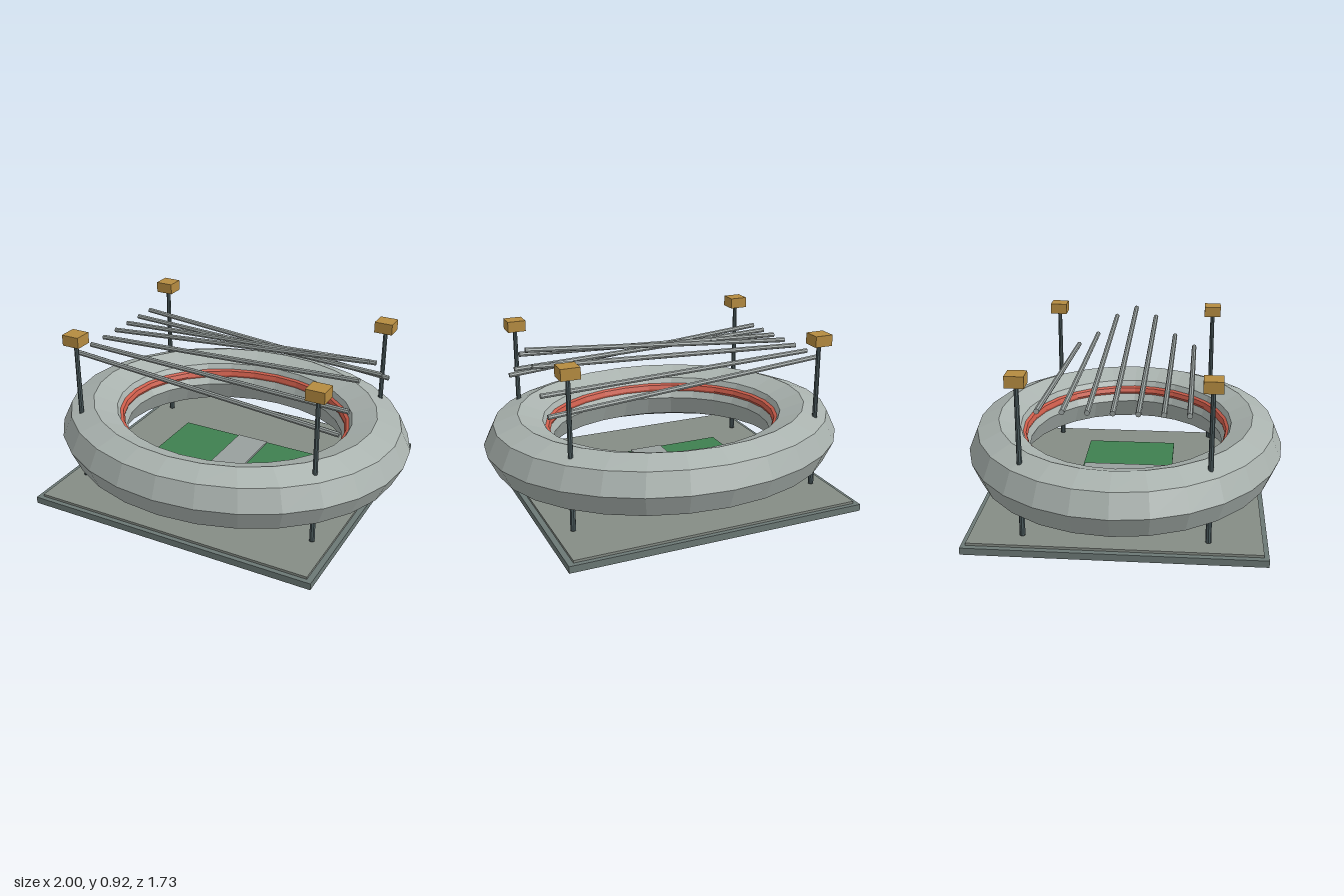
import * as THREE from 'three';

const mat = (color) => new THREE.MeshStandardMaterial({ color, flatShading: true });

export function createModel() {
  const model = new THREE.Group();
  const concrete = mat(0xa9b2ae), stone = mat(0x6b7875), paving = mat(0x858c85);
  const dark = mat(0x4c5b5e), steel = mat(0x98a09e), gold = mat(0xb58b40);
  const green = mat(0x3f8050), red = mat(0xcc5c4a);

  const add = (name, geometry, material, x = 0, y = 0, z = 0) => {
    const mesh = new THREE.Mesh(geometry, material);
    mesh.name = name;
    mesh.position.set(x, y, z);
    model.add(mesh);
    return mesh;
  };

  // box given by its half sizes and its bottom and top heights
  const slab = (name, hx, hz, y0, y1, material, x = 0, z = 0) =>
    add(name, new THREE.BoxGeometry(hx * 2, y1 - y0, hz * 2), material, x, (y0 + y1) / 2, z);

  // oval ring lying flat; height is half of its thickness
  const ovalRing = (name, radius, tube, sides, height, y, material) => {
    const geometry = new THREE.TorusGeometry(radius, tube, sides, 28);
    geometry.rotateX(-Math.PI / 2);
    geometry.scale(1, height / tube, 0.867);
    return add(name, geometry, material, 0, y, 0);
  };

  // stepped base
  slab('base', 0.82, 0.77, 0, 0.037, stone);
  slab('plaza', 0.79, 0.745, 0.037, 0.05, paving);

  // playing field with its middle strip
  slab('pitch', 0.453, 0.258, 0.093, 0.109, green);
  slab('pitchMiddle', 0.093, 0.25, 0.109, 0.119, steel);

  // bowl and the red seating band on its inner slope
  ovalRing('bowl', 0.81, 0.19, 8, 0.164, 0.319, concrete);
  ovalRing('seatingBand', 0.665, 0.03, 8, 0.034, 0.372, red);

  // roof beams fanning out from one level on the right side
  const endHeights = [0.88, 0.825, 0.707, 0.637];
  for (let i = -3; i <= 3; i++) {
    const rise = endHeights[Math.abs(i)] - 0.76;
    const geometry = new THREE.CylinderGeometry(0.014, 0.014, Math.hypot(1.54, rise), 8);
    geometry.rotateZ(-Math.PI / 2);
    const beam = add('roofBeam', geometry, steel, 0, 0.76 + rise / 2, i * 0.121);
    beam.rotation.z = Math.atan2(rise, 1.54);
  }

  // floodlight towers at the corners
  for (const sx of [-1, 1]) {
    for (const sz of [-1, 1]) {
      add('floodlightPole', new THREE.CylinderGeometry(0.012, 0.015, 0.81, 8), dark,
        sx * 0.697, 0.465, sz * 0.47);
      slab('floodlight', 0.05, 0.048, 0.863, 0.923, gold, sx * 0.697, sz * 0.47);
    }
  }
  return model;
}
